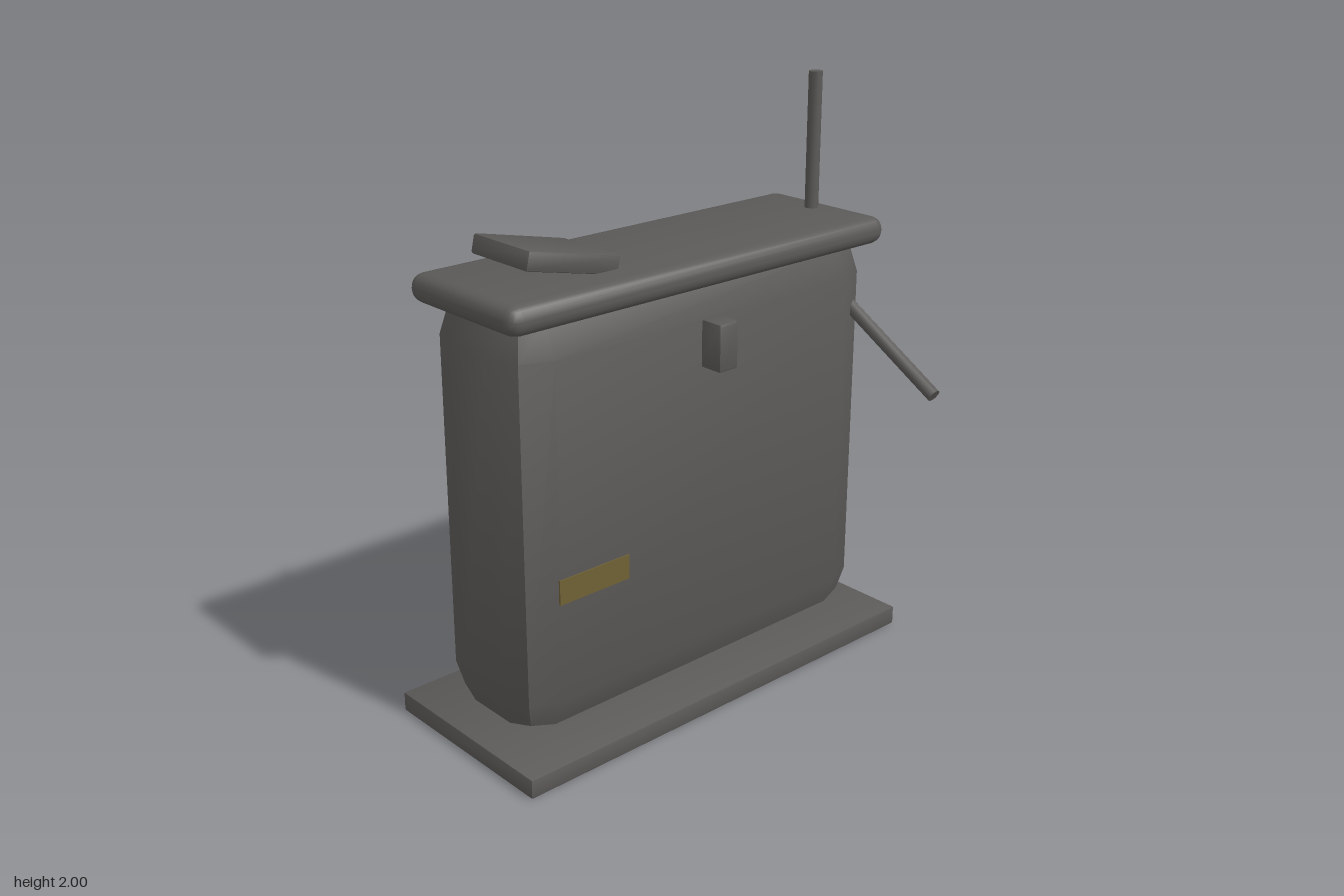
import * as THREE from 'three';
import { toCreasedNormals } from 'three/addons/utils/BufferGeometryUtils.js';
import { RoundedBoxGeometry } from 'three/addons/geometries/RoundedBoxGeometry.js';

export function createModel() {
  const model = new THREE.Group();
  model.name = 'cabinet';
  const grey = new THREE.MeshStandardMaterial({ color: 0x5c5a58 });
  grey.name = 'dark grey metal';
  const yellow = new THREE.MeshStandardMaterial({ color: 0x6f6136 });
  yellow.name = 'dull yellow label';

  const add = (name, geometry, material, x, y, z) => {
    const mesh = new THREE.Mesh(geometry, material);
    mesh.name = name;
    mesh.position.set(x, y, z);
    model.add(mesh);
    return mesh;
  };
  const box = (name, material, w, h, d, x, y, z) =>
    add(name, new THREE.BoxGeometry(w, h, d), material, x, y, z);
  // Box with bevelled edges that keep a crease where the bevels turn sharply
  const bevelBox = (name, w, h, d, segments, radius, x, y, z) =>
    add(name, toCreasedNormals(new RoundedBoxGeometry(w, h, d, segments, radius), 0.55), grey, x, y, z);
  // Round bar between two points
  const rod = (name, radius, from, to) => {
    const a = new THREE.Vector3(...from), b = new THREE.Vector3(...to);
    const dir = b.clone().sub(a);
    const geometry = toCreasedNormals(new THREE.CylinderGeometry(radius, radius, dir.length(), 10), 0.8);
    const mid = a.add(b).multiplyScalar(0.5);
    const mesh = add(name, geometry, grey, mid.x, mid.y, mid.z);
    mesh.quaternion.setFromUnitVectors(new THREE.Vector3(0, 1, 0), dir.normalize());
    return mesh;
  };

  // Base slab, bevelled body and overhanging lid
  bevelBox('base', 0.695, 0.068, 1.68, 1, 0.006, 0, 0.034, 0);
  bevelBox('body', 0.476, 1.42, 1.54, 1, 0.145, 0, 0.775, 0);
  bevelBox('lid', 0.525, 0.094, 1.59, 2, 0.044, 0, 1.485, 0);

  // Tilted panel on the lid
  bevelBox('topPanel', 0.275, 0.062, 0.355, 1, 0.008, 0, 1.58, 0.463).rotation.x = -0.22;

  // Mast, with a small socket on the back below the lid
  rod('mast', 0.024, [0, 1.48, -0.7], [0, 2, -0.7]);
  add('mastSocket', new THREE.CylinderGeometry(0.05, 0.02, 0.08, 10), grey, 0, 1.36, -0.72);

  // Matching parts on both sides
  for (const side of [1, -1]) {
    rod('sideArm', 0.024, [side * 0.18, 1.23, -0.7], [side * 0.58, 0.995, -0.7]);
    bevelBox('sideBlock', 0.1, 0.16, 0.08, 1, 0.01, side * 0.27, 1.26, 0);
    box('sideLabel', yellow, 0.008, 0.084, 0.28, side * 0.238, 0.59, 0.49);
  }

  // Large label, fins and thin seams on the right side
  box('largeLabel', yellow, 0.009, 0.19, 0.28, -0.24, 0.91, 0.02);
  box('frontFin', grey, 0.15, 0.275, 0.014, -0.305, 1.263, 0.417);
  box('rearFin', grey, 0.08, 0.19, 0.01, -0.272, 1.26, -0.283);
  box('upperSeam', grey, 0.008, 0.008, 0.35, -0.239, 0.71, -0.27).rotation.x = 0.17;
  box('lowerSeam', grey, 0.008, 0.008, 0.3, -0.239, 0.56, -0.48);

  return model;
}
